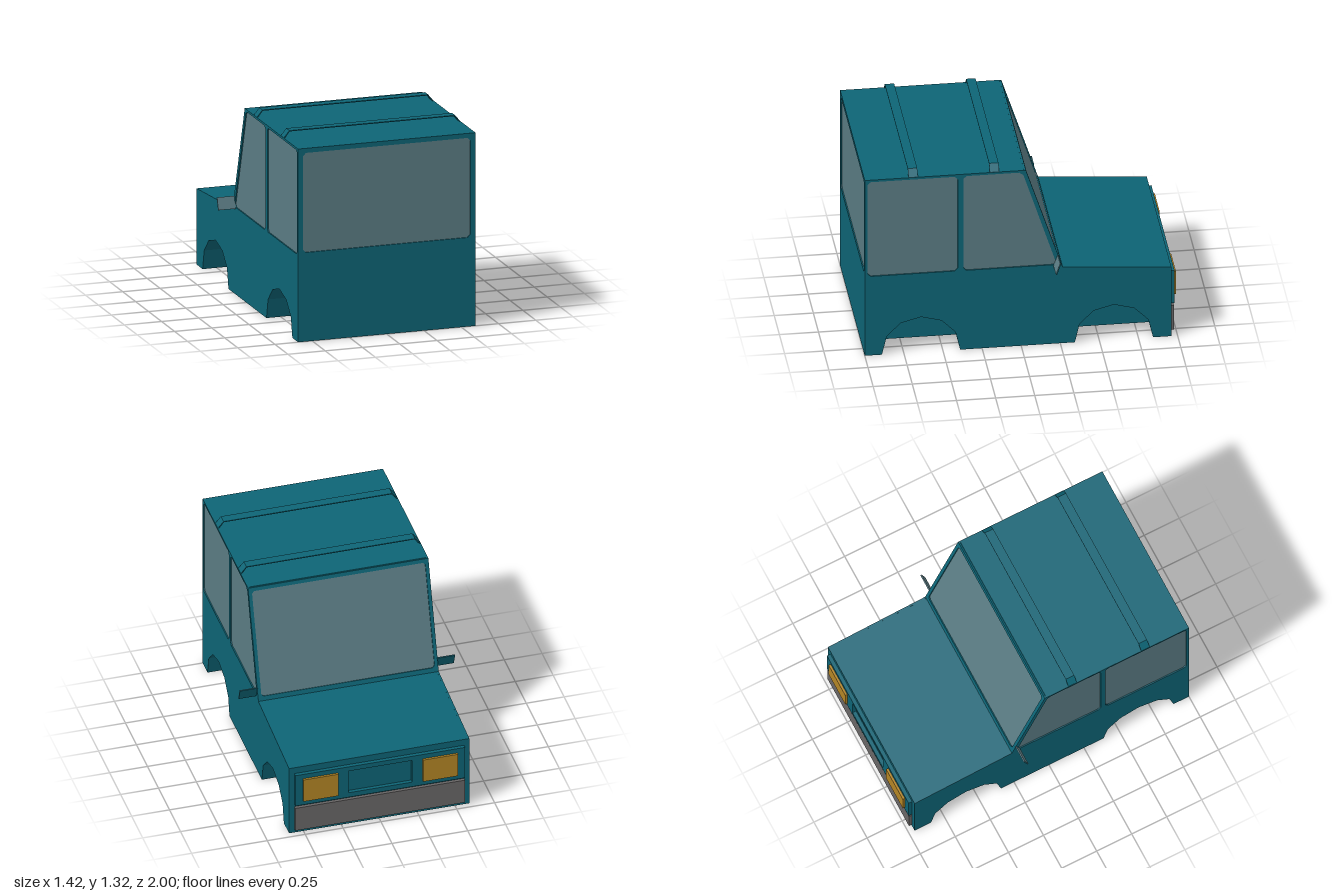
import * as THREE from 'three';

const mat = (name, color) => {
  const m = new THREE.MeshStandardMaterial({ color });
  m.name = name;
  return m;
};

export function createModel() {
  const paint = mat('teal paint', 0x0d6475);
  const glass = mat('grey glass', 0x5a7b83);
  const amber = mat('amber lamp', 0xb28424);
  const grey = mat('grey bumper', 0x686666);

  const car = new THREE.Group();
  car.name = 'car';
  const W = 0.595, SKIN = 0.012, WELL = 0.395;

  const add = (name, geometry, material, parent = car) => {
    const mesh = new THREE.Mesh(geometry, material);
    mesh.name = name;
    parent.add(mesh);
    return mesh;
  };
  const box = (name, material, x0, x1, y0, y1, z0, z1) =>
    add(name, new THREE.BoxGeometry(x1 - x0, y1 - y0, z1 - z0), material)
      .position.set((x0 + x1) / 2, (y0 + y1) / 2, (z0 + z1) / 2);

  const rect = (x0, x1, y0, y1) => [[x0, y0], [x1, y0], [x1, y1], [x0, y1]];
  // Cut every corner of an outline by c
  const chamfer = (pts, c) => pts.flatMap((p, i) => {
    const toward = (q) => {
      const t = c / Math.hypot(q[0] - p[0], q[1] - p[1]);
      return [p[0] + (q[0] - p[0]) * t, p[1] + (q[1] - p[1]) * t];
    };
    return [toward(pts[(i + pts.length - 1) % pts.length]), toward(pts[(i + 1) % pts.length])];
  });
  const vec = (pts) => pts.map(([x, y]) => new THREE.Vector2(x, y));
  const plate = (pts, depth, holes = []) => {
    const shape = new THREE.Shape(vec(pts));
    holes.forEach((h) => shape.holes.push(new THREE.Path(vec(h))));
    return new THREE.ExtrudeGeometry(shape, { depth, bevelEnabled: false });
  };
  // Side outline given as [z, y], filled from x0 to x1
  const slab = (pts, x0, x1, holes) =>
    plate(pts, x1 - x0, holes).rotateY(-Math.PI / 2).translate(x1, 0, 0);

  // Side outline; the bonnet points to -z
  const profile = (inset) => [
    [-0.96, 0], [-0.96, 0.5], [-0.265 + inset, 0.552],
    [-0.03 + inset, 1.27], [1 - inset, 1.27], [1 - inset, 0],
  ];
  const arch = (c) => [[0.25, 0], [0.22, 0.13], [0.13, 0.22], [0, 0.255],
    [-0.13, 0.22], [-0.22, 0.13], [-0.25, 0]].map(([z, y]) => [c + z, y]);
  const arches = [...arch(0.64), ...arch(-0.593)];

  // Solid core between the wheel wells
  add('bodyCore', slab(profile(SKIN), -WELL, WELL), paint);

  const sideWindows = [
    chamfer(rect(0.405, 0.982, 0.572, 1.255), 0.02),
    chamfer([[0.37, 0.572], [0.37, 1.255], [-0.008, 1.255], [-0.228, 0.572]], 0.02),
  ];
  for (const s of [1, -1]) {
    const side = s > 0 ? 'left' : 'right';
    const span = (a, b) => (s > 0 ? [a, b] : [-b, -a]);
    // Wheel wells, outer skin with window openings, recessed panes
    add(side + 'WheelWells', slab([...profile(SKIN), ...arches], ...span(WELL, W - SKIN)), paint);
    add(side + 'SidePanel', slab([...profile(0), ...arches], ...span(W - SKIN, W), sideWindows), paint);
    sideWindows.forEach((w, i) => add(side + (i ? 'FrontWindow' : 'RearWindow'),
      slab(w, ...span(W - SKIN, W - SKIN + 0.004)), glass));

    // Door mirror, tilted slightly upward
    const mirror = new THREE.Group();
    mirror.name = side + 'Mirror';
    mirror.position.set(s * 0.651, 0.6, -0.225);
    mirror.rotation.x = -0.33;
    add('mirrorHousing', new THREE.BoxGeometry(0.118, 0.082, 0.005), paint, mirror);
    add('mirrorGlass', new THREE.BoxGeometry(0.118, 0.082, 0.003), glass, mirror).position.z = 0.004;
    car.add(mirror);

    // Headlamp
    box(side + 'Headlamp', amber, ...span(0.28, 0.51), 0.255, 0.422, -1, -0.98);
  }

  // Tailgate with rear window
  const inner = W - SKIN;
  const rearWindow = chamfer(rect(-0.562, 0.562, 0.585, 1.24), 0.02);
  add('tailgate', plate(rect(-inner, inner, 0, 1.27), SKIN, [rearWindow]).translate(0, 0, 1 - SKIN), paint);
  add('rearWindow', plate(rearWindow, 0.004).translate(0, 0, 1 - SKIN), glass);

  // Sloping windscreen and its frame
  const up = new THREE.Vector3(0, 0.718, 0.235);
  const len = up.length();
  up.normalize();
  const out = new THREE.Vector3(0, up.z, -up.y);
  const slope = new THREE.Matrix4()
    .makeBasis(new THREE.Vector3(-1, 0, 0), up, out)
    .setPosition(new THREE.Vector3(0, 0.552, -0.265).addScaledVector(out, -SKIN));
  const screen = chamfer(rect(-0.572, 0.572, 0.03, len - 0.025), 0.015);
  add('windscreenFrame', plate(rect(-inner, inner, 0, len), SKIN, [screen]).applyMatrix4(slope), paint);
  add('windscreen', plate(screen, 0.004).applyMatrix4(slope), glass);

  // Grille panel with a recessed centre, and bumper
  add('grillePanel', plate(rect(-0.56, 0.56, 0.22, 0.455), 0.025,
    [rect(-0.21, 0.21, 0.255, 0.422)]).translate(0, 0, -0.985), paint);
  box('bumper', grey, -0.56, 0.56, 0.028, 0.2, -0.982, -0.955);

  // Thin arched roof bars
  const bar = [[-0.595, 1.268], [-0.556, 1.315], [0.556, 1.315], [0.595, 1.268],
    [0.587, 1.268], [0.553, 1.309], [-0.553, 1.309], [-0.587, 1.268]];
  [0.14, 0.66].forEach((z, i) =>
    add(i ? 'rearRoofBar' : 'frontRoofBar', plate(bar, 0.06).translate(0, 0, z), paint));

  return car;
}
